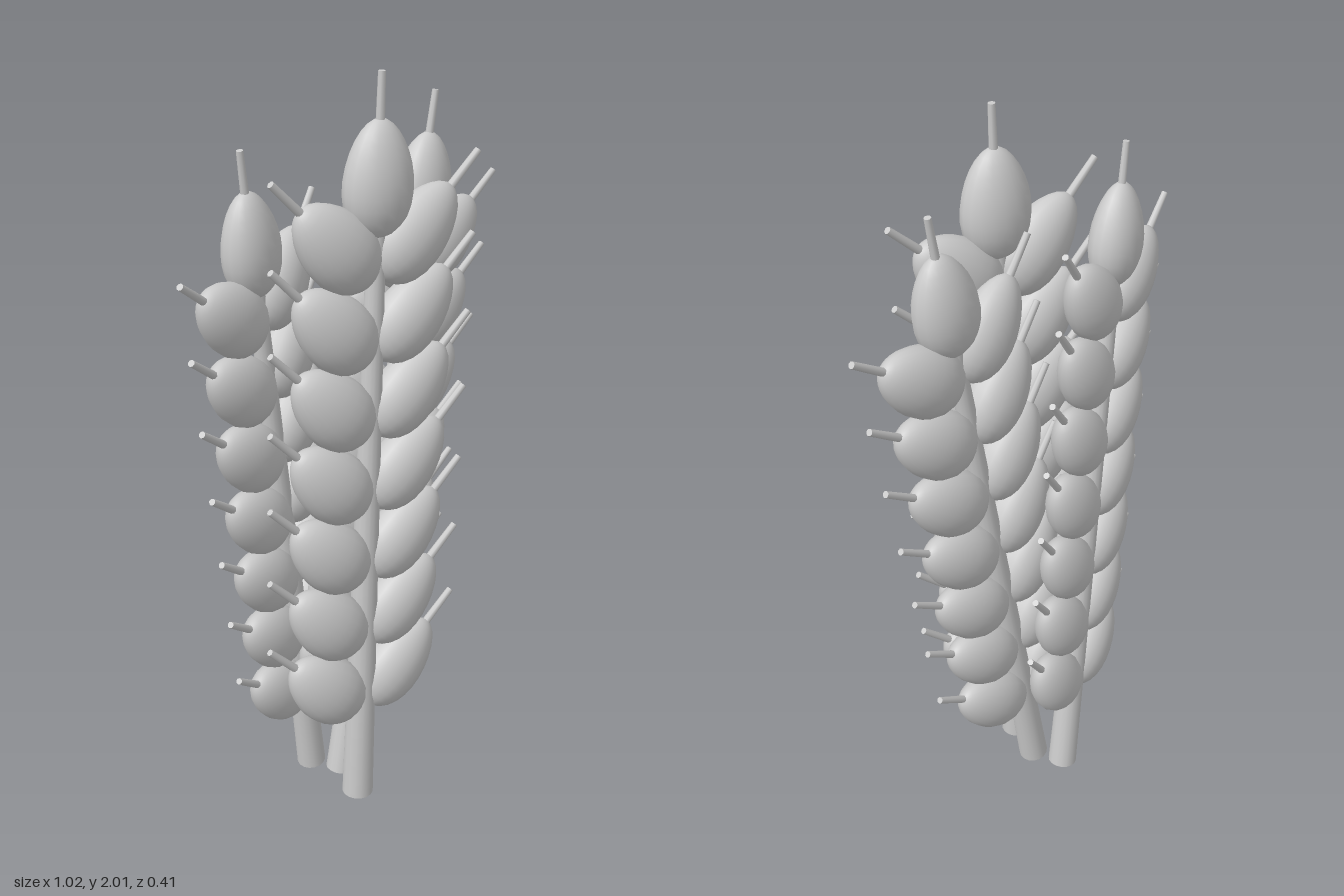
import * as THREE from 'three';
import { mergeVertices } from 'three/addons/utils/BufferGeometryUtils.js';

const material = new THREE.MeshStandardMaterial({ color: 0xcccccc });

// Egg-shaped kernel: rounder at the base, flattened front to back
function kernelGeometry() {
  let g = new THREE.SphereGeometry(1, 18, 14);
  g.deleteAttribute('uv');
  g.deleteAttribute('normal');
  const p = g.attributes.position;
  for (let i = 0; i < p.count; i++) {
    const y = p.getY(i);
    const taper = 1 - 0.17 * y;
    p.setXYZ(i, p.getX(i) * taper * 0.09, y * 0.14, p.getZ(i) * taper * 0.066);
  }
  g = mergeVertices(g, 1e-5);
  g.computeVertexNormals();
  return g;
}

const kernelGeo = kernelGeometry();
const awnGeo = new THREE.CylinderGeometry(0.009, 0.011, 0.125, 8);
const stemGeo = new THREE.CylinderGeometry(0.022, 0.043, 1.68, 16);

function addMesh(parent, name, geometry, y) {
  const mesh = new THREE.Mesh(geometry, material);
  mesh.name = name;
  mesh.position.y = y;
  parent.add(mesh);
}

// One kernel with its bristle, tilted away from the stem
function spikelet(name, x, y, angle) {
  const g = new THREE.Group();
  g.name = name;
  addMesh(g, 'kernel', kernelGeo, 0);
  addMesh(g, 'awn', awnGeo, 0.183);
  g.position.set(x, y, 0);
  g.rotation.z = angle;
  return g;
}

// One flat ear: stem, seven pairs of spikelets and one on top
function ear(name) {
  const g = new THREE.Group();
  g.name = name;
  addMesh(g, 'stem', stemGeo, 0.84);
  for (let i = 0; i < 7; i++) {
    const y = 0.39 + i * 0.2035;
    for (const side of [-1, 1]) {
      g.add(spikelet(side < 0 ? 'rightSpikelet' : 'leftSpikelet', side * 0.115, y, -side * 0.79));
    }
  }
  g.add(spikelet('topSpikelet', 0, 1.755, 0));
  return g;
}

export function createModel() {
  const model = new THREE.Group();
  model.name = 'grainEars';
  // Each ear is turned about the vertical, then leans within its own plane
  const ears = [
    { name: 'frontEar', x: -0.04, z: 0.1, yaw: 8.5, lean: -1.75, size: 1 },
    { name: 'leftEar', x: -0.04, z: -0.01, yaw: 20, lean: -10.2, size: 0.955 },
    { name: 'rightEar', x: -0.1, z: -0.08, yaw: 33.5, lean: 7.8, size: 0.935 },
  ];
  for (const e of ears) {
    const g = ear(e.name);
    g.position.set(e.x, 0.005, e.z);
    g.rotation.set(0, THREE.MathUtils.degToRad(e.yaw), THREE.MathUtils.degToRad(e.lean), 'YXZ');
    g.scale.setScalar(e.size);
    model.add(g);
  }
  return model;
}
